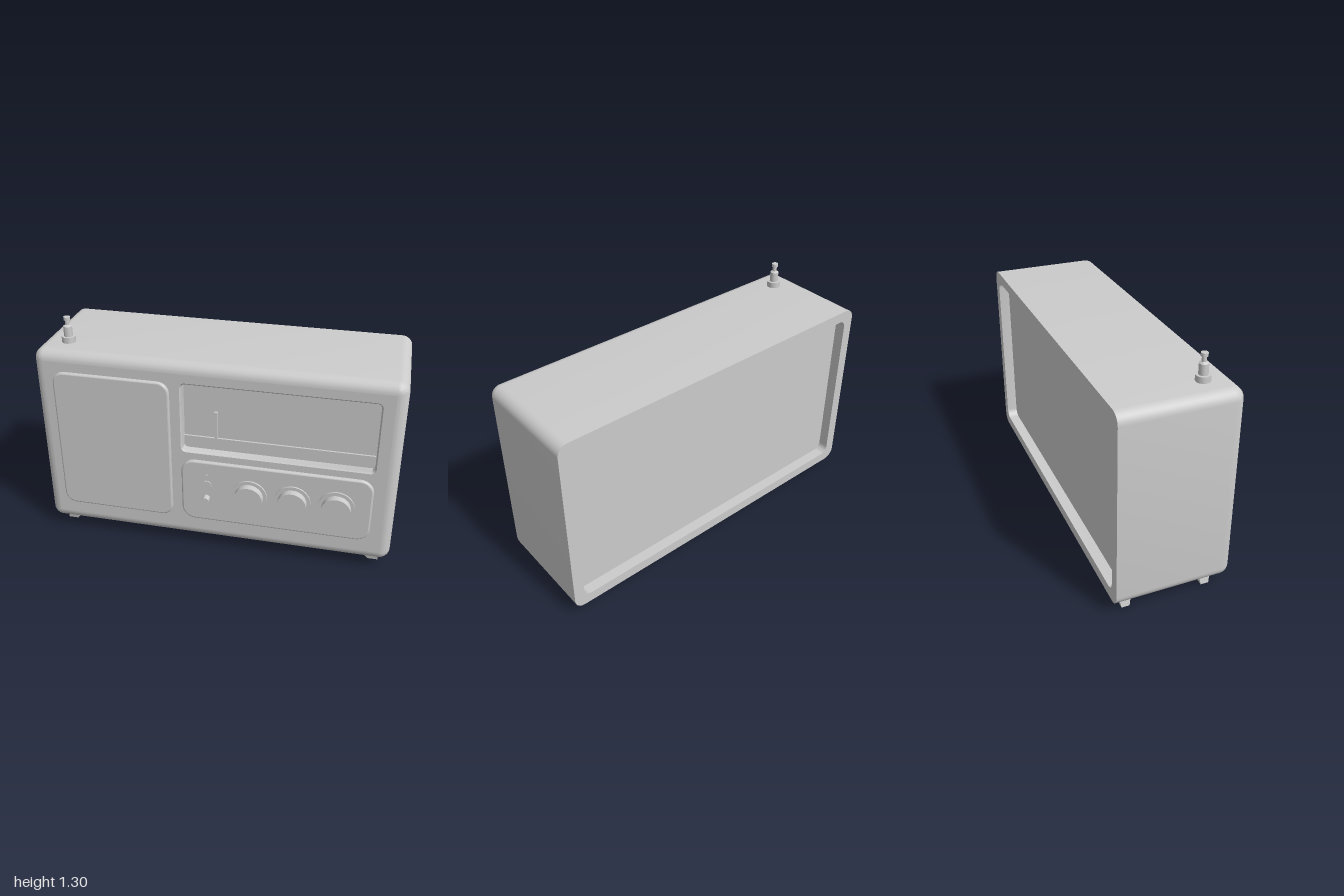
import * as THREE from 'three';
import { toCreasedNormals } from 'three/addons/utils/BufferGeometryUtils.js';

const mat = new THREE.MeshStandardMaterial({ color: 0xcccccc });

// Rounded rectangle as counter-clockwise points; b = [x0, x1, y0, y1, radius]
function rectPoints([x0, x1, y0, y1, radius], inset = 0, n = 8) {
  const r = Math.max(radius - inset, 0.002), pts = [];
  const corners = [
    [x1 - inset - r, y1 - inset - r], [x0 + inset + r, y1 - inset - r],
    [x0 + inset + r, y0 + inset + r], [x1 - inset - r, y0 + inset + r],
  ];
  corners.forEach(([cx, cy], q) => {
    for (let i = 0; i <= n; i++) {
      const a = (q + i / n) * Math.PI / 2;
      pts.push(new THREE.Vector2(cx + r * Math.cos(a), cy + r * Math.sin(a)));
    }
  });
  return pts;
}

// Skin through rounded rectangles, rings = [inset, z]; rising z faces outward, falling z inward
function loft(b, rings) {
  const pos = [], idx = [];
  let n = 0;
  for (const [inset, z] of rings) {
    const pts = rectPoints(b, inset);
    n = pts.length;
    for (const p of pts) pos.push(p.x, p.y, z);
  }
  for (let i = 0; i < rings.length - 1; i++) {
    for (let j = 0; j < n; j++) {
      const a = i * n + j, c = i * n + (j + 1) % n;
      idx.push(a, c, c + n, a, c + n, a + n);
    }
  }
  const g = new THREE.BufferGeometry();
  g.setAttribute('position', new THREE.Float32BufferAttribute(pos, 3));
  g.setIndex(idx);
  return toCreasedNormals(g, 0.6);
}

// Flat face with an optional opening
function face(b, inset, z, hole) {
  const s = new THREE.Shape(rectPoints(b, inset));
  if (hole) s.holes.push(new THREE.Path(rectPoints(hole)));
  return new THREE.ShapeGeometry(s).translate(0, 0, z);
}

// Quarter-round edge rings ending at height z
function roundEdge(r, z, n) {
  return Array.from({ length: n + 1 }, (_, i) => {
    const a = (i / n) * Math.PI / 2;
    return [r * (1 - Math.cos(a)), z - r + r * Math.sin(a)];
  });
}

export function createModel() {
  const model = new THREE.Group();
  const add = (name, geo, parent = model) => {
    const m = new THREE.Mesh(geo, mat);
    m.name = name;
    parent.add(m);
    return m;
  };
  const group = (name) => {
    const g = new THREE.Group();
    g.name = name;
    model.add(g);
    return g;
  };

  const BACK = -0.355, FRONT = 0.29;
  const body = [-1, 1, 0.065, 1.16, 0.06];
  const windowBox = [-0.18, 0.88, 0.63, 1.05, 0.03];
  const backBox = [-0.94, 0.94, 0.125, 1.1, 0.045];

  // Cabinet: rounded front edge, square back edge
  const cabinet = group('cabinet');
  add('cabinetShell', loft(body, [[0, BACK], ...roundEdge(0.06, FRONT, 8)]), cabinet);
  add('cabinetFront', face(body, 0.06, FRONT, windowBox), cabinet);
  add('backRim', face(body, 0, 0, backBox).rotateY(Math.PI).translate(0, 0, BACK), cabinet);
  add('backRecessWall', loft(backBox, [[0, BACK + 0.06], [0, BACK]].reverse()).scale(1, 1, 1), cabinet)
    .geometry = flip(loft(backBox, [[0, BACK], [0, BACK + 0.06]]));
  add('backPanel', face(backBox, 0, 0).rotateY(Math.PI).translate(0, 0, BACK + 0.06), cabinet);

  // Dial window with ledge and needle
  const dial = group('dial');
  add('windowWall', loft(windowBox, [[0, FRONT], [0.008, FRONT - 0.008], [0.008, 0.23]]), dial);
  add('dialFace', face(windowBox, 0.008, 0.23), dial);
  add('dialLedge', new THREE.BoxGeometry(1.044, 0.075, 0.012).translate(0.35, 0.6725, 0.235), dial);
  add('needle', new THREE.BoxGeometry(0.016, 0.165, 0.02).translate(0.008, 0.79, 0.24), dial);

  // Raised front panels
  const panels = { speakerPanel: [-0.89, -0.235, 0.205, 1.047, 0.065], controlPanel: [-0.177, 0.88, 0.205, 0.59, 0.075] };
  for (const [name, b] of Object.entries(panels)) {
    const g = group(name);
    add(name + 'Edge', loft(b, [[0, FRONT - 0.01], ...roundEdge(0.01, 0.308, 4)]), g);
    add(name + 'Face', face(b, 0.01, 0.308), g);
  }

  // Round parts pointing forward
  const disc = (name, x, y, r, z0, z1, parent, seg = 40) =>
    add(name, new THREE.CylinderGeometry(r, r, z1 - z0, seg).rotateX(Math.PI / 2).translate(x, y, (z0 + z1) / 2), parent);
  for (const x of [0.21, 0.45, 0.69]) {
    const knob = group('knob');
    disc('knobFlange', x, 0.405, 0.1, 0.3, 0.318, knob);
    disc('knobCap', x, 0.405, 0.08, 0.31, 0.358, knob);
  }

  // Slide switch and indicator lamp
  const control = group('slideSwitch');
  const slot = [-0.06, -0.004, 0.34, 0.472, 0.028];
  add('slotEdge', loft(slot, [[0, 0.3], [0, 0.314]]), control);
  add('slotFace', face(slot, 0, 0.314), control);
  disc('lever', -0.032, 0.363, 0.02, 0.305, 0.352, control, 24);
  disc('indicatorLamp', -0.032, 0.505, 0.008, 0.3, 0.314, control, 16);

  // Antenna stub: stepped turned profile
  const profile = [[0.038, 1.155], [0.038, 1.193], [0.024, 1.193], [0.024, 1.25], [0.012, 1.258],
    [0.012, 1.283], [0.018, 1.285], [0.018, 1.303], [0, 1.305]].map(([r, y]) => new THREE.Vector2(r, y));
  add('antenna', toCreasedNormals(new THREE.LatheGeometry(profile, 24), 0.5)).position.set(-0.845, 0, 0.135);

  // Splayed tapered feet
  for (const side of [-1, 1]) {
    for (const z of [0.17, -0.28]) {
      const g = new THREE.BoxGeometry(1, 1, 1).toNonIndexed();
      const p = g.attributes.position;
      for (let i = 0; i < p.count; i++) {
        const top = p.getY(i) > 0, outer = p.getX(i) * side > 0;
        const x = top ? (outer ? 0.93 : 0.825) : (outer ? 0.943 : 0.885);
        p.setXYZ(i, side * x, top ? 0.07 : 0, z + Math.sign(p.getZ(i)) * (top ? 0.035 : 0.022));
      }
      g.computeVertexNormals();
      add('foot', g);
    }
  }

  // Window wall faces inward
  const wall = dial.getObjectByName('windowWall');
  wall.geometry = loft(windowBox, [[0, FRONT], [0.008, FRONT - 0.008], [0.008, 0.23]]);
  return model;
}

// Reverse the winding of an unindexed geometry
function flip(g) {
  const p = g.attributes.position, a = new THREE.Vector3(), b = new THREE.Vector3();
  for (let i = 0; i < p.count; i += 3) {
    a.fromBufferAttribute(p, i + 1);
    b.fromBufferAttribute(p, i + 2);
    p.setXYZ(i + 1, b.x, b.y, b.z);
    p.setXYZ(i + 2, a.x, a.y, a.z);
  }
  return toCreasedNormals(g, 0.6);
}
